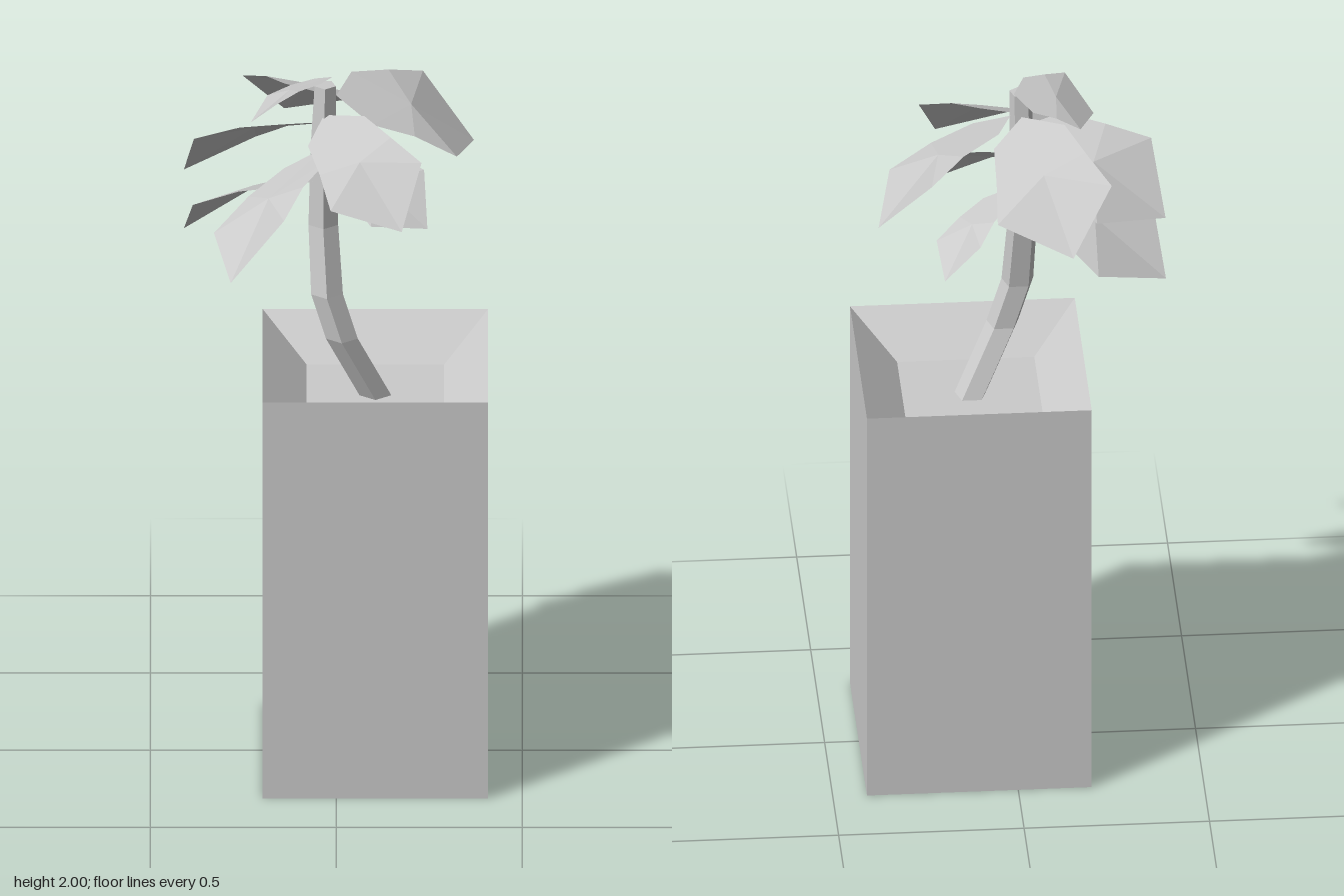
import * as THREE from 'three';

const material = new THREE.MeshStandardMaterial({ color: 0xcccccc, flatShading: true, side: THREE.DoubleSide });

function named(name, geometry) {
  const mesh = new THREE.Mesh(geometry, material);
  mesh.name = name;
  return mesh;
}

// Square pot, open underneath, with sloping inner walls down to the soil
function makePlanter() {
  const corner = (half, y) => new THREE.Vector2(half * Math.SQRT2, y);
  const profile = [corner(0.303, 0), corner(0.303, 1.17), corner(0.185, 1.06), corner(0, 1.06)];
  const planter = named('planter', new THREE.LatheGeometry(profile, 4, Math.PI / 4));
  planter.position.set(0.105, 0, 0.01);
  return planter;
}

// Five-sided trunk: the rings of a cylinder moved onto a bent line [x, y, z, radius]
function makeTrunk() {
  const rings = [
    [0.105, 1.06, 0.01, 0.045], [0.015, 1.25, 0.06, 0.045], [-0.025, 1.38, 0.058, 0.045],
    [-0.035, 1.57, 0.025, 0.042], [-0.035, 1.8, 0.028, 0.036], [-0.03, 1.98, 0.03, 0.03],
  ];
  const steps = rings.length - 1;
  const geometry = new THREE.CylinderGeometry(1, 1, steps, 5, steps);
  const pos = geometry.attributes.position;
  for (let i = 0; i < pos.count; i++) {
    const [x, y, z, r] = rings[Math.round(pos.getY(i) + steps / 2)];
    pos.setXYZ(i, x + pos.getX(i) * r, y, z + pos.getZ(i) * r);
  }
  geometry.computeVertexNormals();
  return named('trunk', geometry);
}

// Leaf pattern: [along, height, across]; flat near the stem, two folded panels at the tip
const leafPoints = [
  [0, 0, 0], [0.16, 0.036, -0.31], [0.41, 0.09, -0.39], [0.68, 0.101, -0.5], [1, 0, 0],
  [0.68, 0.101, 0.5], [0.41, 0.09, 0.39], [0.16, 0.036, 0.31], [0.47, 0.103, 0],
];
const leafFaces = [0, 1, 8, 1, 2, 8, 2, 3, 8, 3, 4, 8, 4, 5, 8, 5, 6, 8, 6, 7, 8, 7, 0, 8];

// Leaf laid between its base and tip, spread between its two side corners
function makeLeaf([base, tip, cornerA, cornerB]) {
  const origin = new THREE.Vector3(...base);
  const axis = new THREE.Vector3(...tip).sub(origin);
  const side = new THREE.Vector3(...cornerB).sub(new THREE.Vector3(...cornerA));
  const width = side.length();
  const normal = side.clone().cross(axis).normalize();
  if (normal.y < 0) normal.negate();
  side.crossVectors(axis, normal).setLength(width);
  normal.multiplyScalar(axis.length());
  const points = leafPoints.map(([a, h, s]) => origin.clone()
    .addScaledVector(axis, a).addScaledVector(normal, h).addScaledVector(side, s));
  const geometry = new THREE.BufferGeometry().setFromPoints(points);
  geometry.setIndex(leafFaces);
  geometry.computeVertexNormals();
  return named('leaf', geometry);
}

// Each leaf: base, tip, and the two widest corners
const leaves = [
  [[0, 1.93, -0.01], [0.37, 1.71, -0.205], [0.235, 1.875, -0.286], [0.325, 1.76, 0.018]],
  [[-0.03, 1.93, -0.02], [-0.14, 1.71, -0.41], [0.07, 1.775, -0.33], [-0.24, 1.86, -0.29]],
  [[-0.03, 1.87, 0.03], [-0.41, 1.66, -0.123], [-0.21, 1.72, -0.22], [-0.395, 1.82, 0.03]],
  [[-0.03, 1.7, 0.03], [-0.41, 1.48, -0.137], [-0.22, 1.57, -0.258], [-0.374, 1.65, 0.025]],
  [[-0.01, 1.99, 0], [-0.23, 1.885, 0.065], [-0.214, 1.87, -0.033], [-0.152, 1.95, 0.15]],
  [[-0.03, 1.8, 0.04], [-0.284, 1.56, 0.394], [-0.326, 1.6, 0.167], [-0.143, 1.735, 0.405]],
  [[-0.033, 1.9, 0.05], [0.176, 1.69, 0.348], [-0.015, 1.745, 0.333], [0.229, 1.84, 0.227]],
  [[-0.02, 1.79, 0.03], [0.245, 1.62, 0.174], [0.13, 1.63, 0.21], [0.255, 1.745, 0.06]],
  [[0, 1.7, 0], [0.19, 1.53, -0.195], [0.084, 1.64, -0.205], [0.2, 1.565, -0.055]],
];

export function createModel() {
  const group = new THREE.Group();
  group.name = 'pottedPlant';
  const foliage = new THREE.Group();
  foliage.name = 'foliage';
  foliage.add(...leaves.map(makeLeaf));
  group.add(makePlanter(), makeTrunk(), foliage);
  return group;
}
